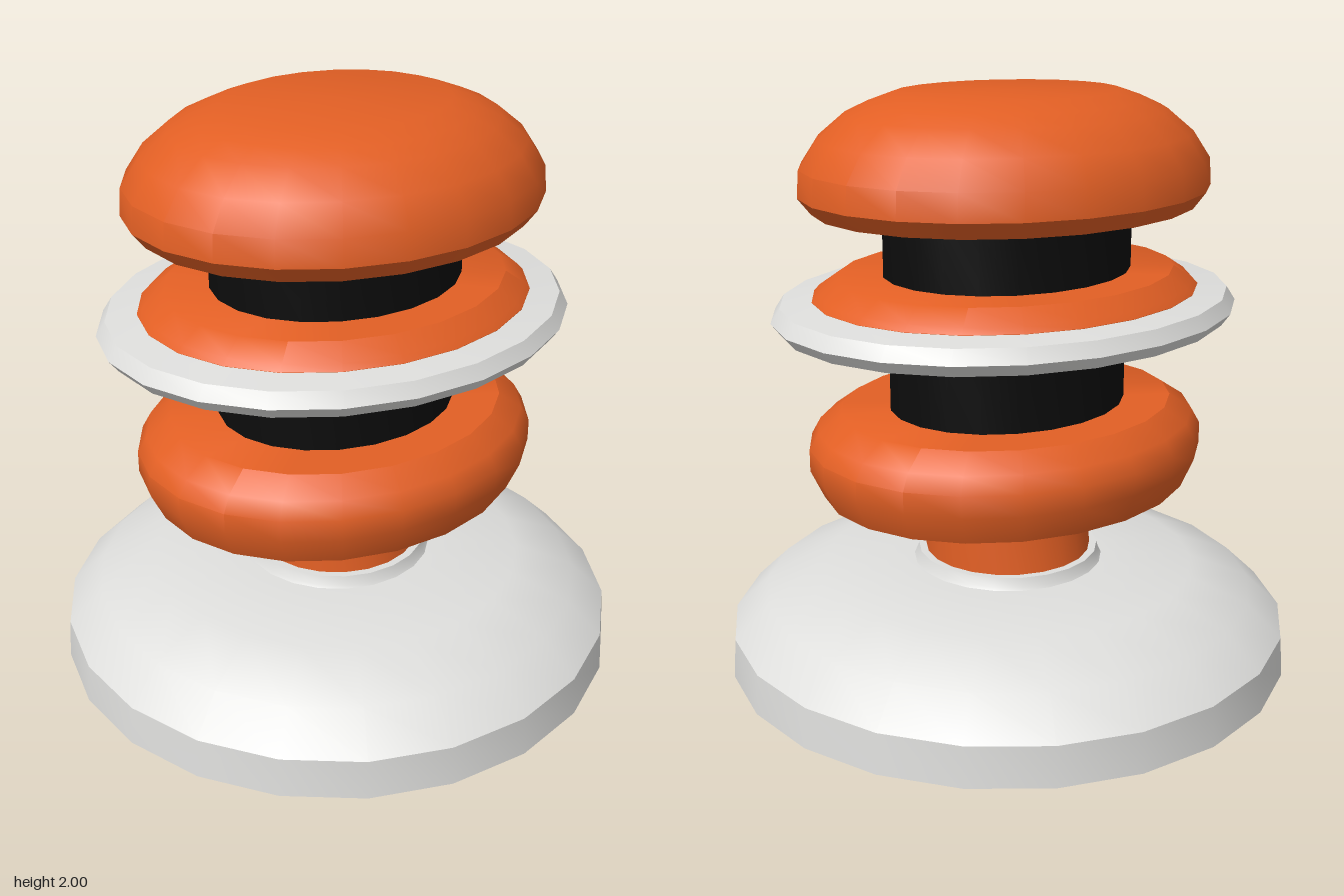
import * as THREE from 'three';
import { toCreasedNormals } from 'three/addons/utils/BufferGeometryUtils.js';

const SIDES = 22;
const OVAL = 0.857; // depth of the oval parts relative to their width

const material = (name, color) => {
  const m = new THREE.MeshStandardMaterial({ color });
  m.name = name;
  return m;
};

// Turned part from [radius, height] pairs, bottom to top; depth(y) squashes it in z
function turned(name, profile, mat, depth = () => OVAL) {
  const points = profile.map(([r, y]) => new THREE.Vector2(r, y));
  const geometry = new THREE.LatheGeometry(points, SIDES);
  const pos = geometry.attributes.position;
  for (let i = 0; i < pos.count; i++) pos.setZ(i, pos.getZ(i) * depth(pos.getY(i)));
  const mesh = new THREE.Mesh(toCreasedNormals(geometry, 0.6), mat);
  mesh.name = name;
  return mesh;
}

export function createModel() {
  const orange = material('orange', 0xe25f24);
  const grey = material('light grey', 0xdededc);
  const black = material('black', 0x0c0c0c);
  const round = () => 1;
  const group = new THREE.Group();
  group.name = 'stackedKnob';

  group.add(
    // Round foot and the collar around the neck
    turned('base', [[0, 0], [1, 0], [0.99, 0.14], [0.87, 0.255], [0.66, 0.335], [0.33, 0.35], [0, 0.35]], grey, round),
    turned('collar', [[0.34, 0.345], [0.33, 0.36], [0.32, 0.39], [0, 0.39]], grey, round),

    // Neck: round at the bottom, oval at the top
    turned('neck', [[0.295, 0.38], [0.295, 0.63]], orange,
      (y) => THREE.MathUtils.mapLinear(y, 0.38, 0.63, 1, OVAL)),

    // Orange cushions
    turned('lowerCushion', [[0, 0.615], [0.53, 0.615], [0.68, 0.65], [0.728, 0.75], [0.728, 0.825],
      [0.695, 0.88], [0.61, 0.935], [0, 0.935]], orange),
    turned('middleCushion', [[0, 1.175], [0.53, 1.175], [0.66, 1.2], [0.7, 1.235], [0.7, 1.335],
      [0.68, 1.355], [0.61, 1.4], [0, 1.4]], orange),
    turned('topCushion', [[0, 1.605], [0.53, 1.605], [0.69, 1.625], [0.735, 1.68], [0.728, 1.77],
      [0.665, 1.86], [0.57, 1.935], [0.49, 1.97], [0.4, 2], [0, 2]], orange),

    // Black columns between the cushions
    turned('lowerColumn', [[0.435, 0.93], [0.435, 1.18]], black),
    turned('upperColumn', [[0.45, 1.395], [0.45, 1.61]], black),

    // Trim ring around the middle cushion
    turned('trimRing', [[0.69, 1.235], [0.81, 1.235], [0.842, 1.275], [0.81, 1.322], [0.69, 1.335]], grey),
  );
  return group;
}
